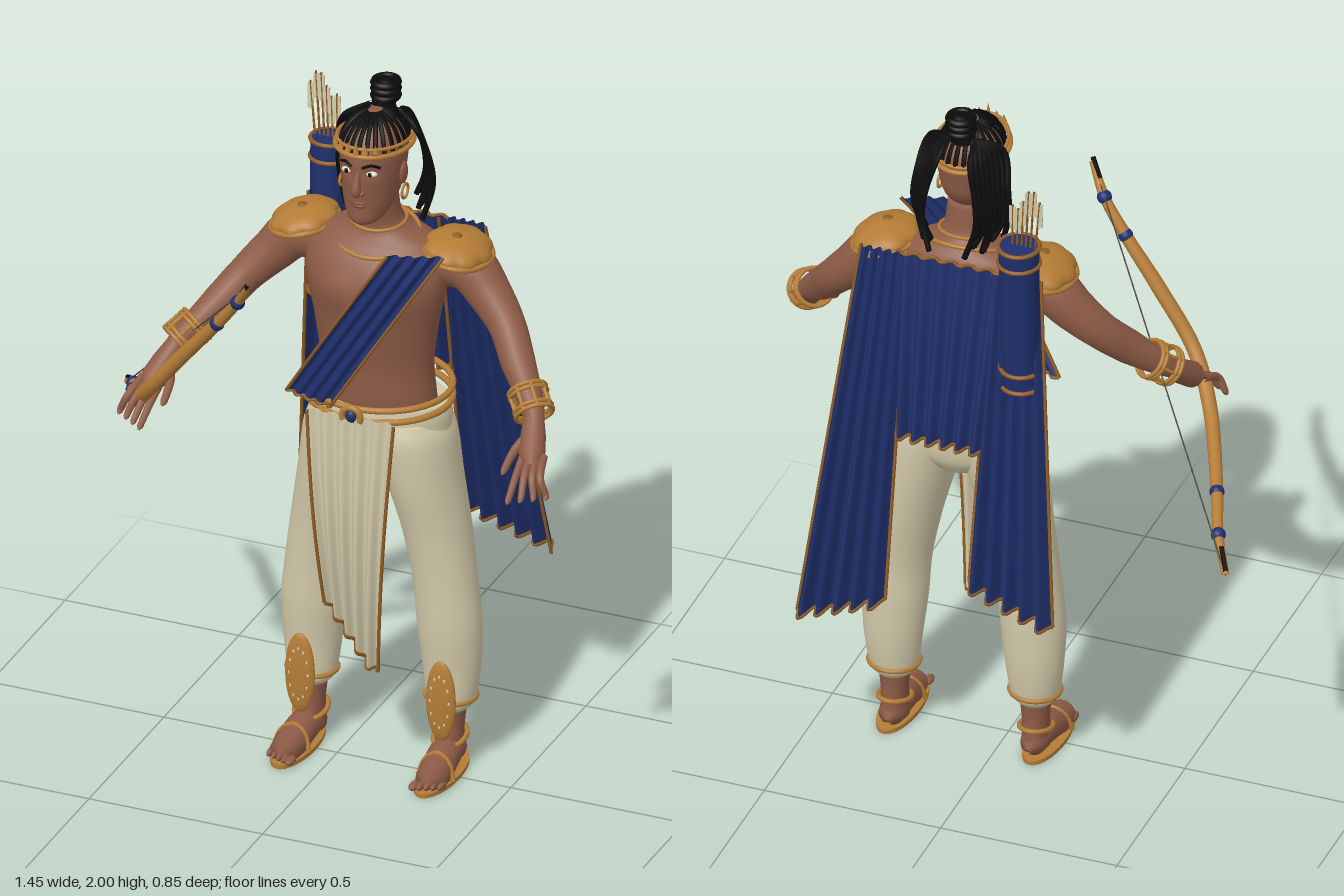
import * as THREE from 'three';

const mat = (name, color, side = THREE.FrontSide) => {
  const m = new THREE.MeshStandardMaterial({ color, side });
  m.name = name;
  return m;
};
const skin = mat('skin', 0x8d5b46), gold = mat('gold', 0xb47c36), trim = mat('bronze trim', 0x8f5c24);
const navy = mat('navy cloth', 0x1f2f6c, THREE.DoubleSide), cream = mat('cream cloth', 0xd3caaa, THREE.DoubleSide);
const black = mat('black hair', 0x0c0b0b), cord = mat('cord', 0x4c4843), white = mat('eye white', 0xe2dad0), lip = mat('lips', 0x7a463a);
const CX = 0.097; // body axis
const V = (p) => new THREE.Vector3(p[0], p[1], p[2]);
const lerp = THREE.MathUtils.lerp;

function add(parent, name, geo, m, pos = [0, 0, 0], scale = [1, 1, 1]) {
  const mesh = new THREE.Mesh(geo, m);
  mesh.name = name;
  mesh.position.set(...pos);
  mesh.scale.set(...scale);
  parent.add(mesh);
  return mesh;
}
const ball = (parent, name, m, pos, scale) => add(parent, name, new THREE.SphereGeometry(1, 20, 14), m, pos, scale);

// Smooth body from elliptical sections [y, cx, cz, rx, rz], closed at both ends
function loft(secs, bump, n = 36, sub = 6) {
  const a = new THREE.CatmullRomCurve3(secs.map((s) => V(s)), false, 'catmullrom');
  const b = new THREE.CatmullRomCurve3(secs.map((s) => V([s[3], s[4], 0])), false, 'catmullrom');
  const rows = (secs.length - 1) * sub, pos = [], idx = [];
  for (let i = 0; i <= rows; i++) {
    const c = a.getPoint(i / rows), r = b.getPoint(i / rows);
    for (let j = 0; j < n; j++) {
      const t = (j / n) * Math.PI * 2;
      const x = c.y + r.x * Math.sin(t), z = c.z + r.y * Math.cos(t);
      pos.push(x, c.x, z + (bump ? bump(x, c.x, Math.cos(t)) : 0));
      if (i < rows) {
        const k = i * n + j, l = i * n + ((j + 1) % n);
        idx.push(k, l, k + n, l, l + n, k + n);
      }
    }
  }
  const bottom = pos.length / 3, last = rows * n;
  pos.push(secs[0][1], secs[0][0], secs[0][2]);
  const e = secs[secs.length - 1];
  pos.push(e[1], e[0], e[2]);
  for (let j = 0; j < n; j++) {
    const l = (j + 1) % n;
    idx.push(bottom, l, j, bottom + 1, last + j, last + l);
  }
  const g = new THREE.BufferGeometry();
  g.setAttribute('position', new THREE.Float32BufferAttribute(pos, 3));
  g.setIndex(idx);
  g.computeVertexNormals();
  return g;
}

// Tube through [x, y, z, radius] points
function limb(pts, seg = 24, radial = 14) {
  const curve = new THREE.CatmullRomCurve3(pts.map(V));
  const g = new THREE.TubeGeometry(curve, seg, 1, radial), p = g.attributes.position, v = new THREE.Vector3();
  for (let i = 0; i <= seg; i++) {
    const c = curve.getPointAt(i / seg), t = curve.getUtoTmapping(i / seg) * (pts.length - 1);
    const k = Math.min(Math.floor(t), pts.length - 2), r = lerp(pts[k][3], pts[k + 1][3], t - k);
    for (let j = 0; j <= radial; j++) {
      const q = i * (radial + 1) + j;
      v.fromBufferAttribute(p, q).sub(c).multiplyScalar(r).add(c);
      p.setXYZ(q, v.x, v.y, v.z);
    }
  }
  return g;
}
const cordGeo = (pts, r, seg = 24) => new THREE.TubeGeometry(new THREE.CatmullRomCurve3(pts.map(V)), seg, r, 6);

// Horizontal elliptical band; dip lowers its front
function ring(rx, rz, r, dip = 0) {
  const pts = [];
  for (let i = 0; i < 20; i++) {
    const t = (i / 20) * Math.PI * 2;
    pts.push(new THREE.Vector3(rx * Math.sin(t), -dip * Math.cos(t), rz * Math.cos(t)));
  }
  return new THREE.TubeGeometry(new THREE.CatmullRomCurve3(pts, true), 48, r, 8, true);
}

// Cloth sheet from a rule f(u, v), with trimmed borders
function cloth(parent, name, f, m, edges) {
  const g = new THREE.PlaneGeometry(1, 1, 48, 20), p = g.attributes.position, uv = g.attributes.uv;
  for (let i = 0; i < p.count; i++) p.setXYZ(i, ...f(uv.getX(i), 1 - uv.getY(i)));
  g.computeVertexNormals();
  add(parent, name, g, m);
  const steps = Array.from({ length: 33 }, (_, i) => i / 32);
  const borders = { left: (t) => f(0, t), right: (t) => f(1, t), bottom: (t) => f(t, 1), top: (t) => f(t, 0) };
  for (const e of edges) add(parent, name + ' trim', cordGeo(steps.map(borders[e]), 0.005, 64), trim);
}
const pleat = (u, n) => Math.cos(u * n * Math.PI * 2);

function buildHead(body) {
  const head = new THREE.Group();
  head.name = 'head';
  body.add(head);
  add(head, 'skull', loft([[1.636, 0, 0.05, 0.018, 0.02], [1.652, 0, 0.032, 0.046, 0.055], [1.69, 0, 0.006, 0.067, 0.083],
    [1.74, 0, -0.014, 0.079, 0.106], [1.8, 0, -0.02, 0.086, 0.115], [1.85, 0, -0.026, 0.086, 0.115],
    [1.89, 0, -0.028, 0.073, 0.098], [1.918, 0, -0.03, 0.05, 0.068], [1.932, 0, -0.03, 0.015, 0.02]],
  (x, y, c) => (c > 0.6 ? -0.008 * Math.exp(-((y - 1.8) ** 2) / 0.0002 - (Math.abs(x) - 0.034) ** 2 / 0.0004) : 0)), skin);
  add(head, 'nose', limb([[0, 1.805, 0.086, 0.007], [0, 1.775, 0.097, 0.011], [0, 1.752, 0.103, 0.015], [0, 1.735, 0.092, 0.008]]), skin);
  ball(head, 'upper lip', lip, [0, 1.712, 0.084], [0.026, 0.006, 0.012]);
  ball(head, 'lower lip', lip, [0, 1.702, 0.083], [0.022, 0.007, 0.012]);
  for (const s of [-1, 1]) {
    ball(head, 'nostril', skin, [s * 0.012, 1.744, 0.093], [0.01, 0.009, 0.011]);
    ball(head, 'eye', white, [s * 0.034, 1.8, 0.077], [0.017, 0.008, 0.011]);
    ball(head, 'iris', black, [s * 0.034, 1.8, 0.086], [0.006, 0.007, 0.003]);
    add(head, 'eyebrow', cordGeo([[s * 0.014, 1.82, 0.093], [s * 0.036, 1.828, 0.086], [s * 0.056, 1.818, 0.068]], 0.004), black);
    ball(head, 'ear', skin, [s * 0.084, 1.77, -0.02], [0.011, 0.034, 0.02]);
    const hoop = add(head, 'earring', new THREE.TorusGeometry(0.02, 0.004, 8, 20), gold, [s * 0.09, 1.715, -0.018]);
    hoop.rotation.y = Math.PI / 2;
    // Hanging braids
    for (let k = 0; k < 8; k++) {
      const f = k / 7, z = -0.07 - 0.09 * f, x = 0.13 - 0.06 * f;
      add(head, 'hanging braid', cordGeo([[s * 0.04, 1.915, -0.09], [s * (x - 0.025), 1.88, z + 0.01], [s * x, 1.78, z - 0.02],
        [s * (x + 0.005), 1.7, z - 0.03], [s * (x - 0.02), 1.6 + 0.04 * ((k * 3) % 4) / 3, z - 0.02 - 0.025 * (k % 2)]], 0.008), black);
    }
  }
  // Cornrows gathered to the crown
  for (let k = 0; k < 24; k++) {
    const a = (k / 24) * Math.PI * 2, pts = [];
    for (let i = 0; i <= 5; i++) {
      const e = lerp(0.3, 1.36, i / 5);
      pts.push([0.091 * Math.cos(e) * Math.sin(a), 1.82 + 0.117 * Math.sin(e), -0.028 + 0.121 * Math.cos(e) * Math.cos(a)]);
    }
    add(head, 'cornrow', cordGeo(pts, 0.007, 12), black);
  }
  ball(head, 'topknot', black, [0, 1.963, -0.1], [0.038, 0.033, 0.04]);
  for (const y of [1.945, 1.965, 1.983]) add(head, 'topknot coil', ring(0.031, 0.033, 0.011), black, [0, y, -0.1]);
  add(head, 'topknot base', new THREE.CylinderGeometry(0.03, 0.035, 0.04, 16), black, [0, 1.925, -0.085]);
  // Circlet
  add(head, 'circlet', ring(0.1, 0.126, 0.007, -0.008), gold, [0, 1.848, -0.024]);
  add(head, 'circlet', ring(0.096, 0.122, 0.005, -0.012), gold, [0, 1.866, -0.024]);
  for (const x of [-0.05, -0.025, 0, 0.025, 0.05]) {
    add(head, 'circlet point', new THREE.ConeGeometry(0.009, x ? 0.025 : 0.045, 8), gold, [x, x ? 1.88 : 1.885, 0.1 - 6 * x * x]);
  }
}

function buildSide(body, s) {
  const side = new THREE.Group();
  side.name = s > 0 ? 'left limbs' : 'right limbs';
  body.add(side);
  // Arm and hand
  add(side, 'arm', limb([[s * 0.13, 1.5, -0.075, 0.05], [s * 0.19, 1.5, -0.082, 0.072], [s * 0.25, 1.49, -0.082, 0.07], [s * 0.31, 1.43, -0.07, 0.06],
    [s * 0.375, 1.36, -0.04, 0.05], [s * 0.43, 1.29, 0.015, 0.047], [s * 0.5, 1.21, 0.085, 0.033], [s * 0.525, 1.175, 0.12, 0.025]], 40, 20), skin);
  add(side, 'palm', limb([[s * 0.515, 1.19, 0.105, 0.027], [s * 0.53, 1.155, 0.145, 0.034], [s * 0.545, 1.12, 0.19, 0.036], [s * 0.553, 1.1, 0.215, 0.015]]), skin);
  for (let k = 0; k < 4; k++) {
    const x = 0.522 + 0.018 * k, tx = 0.53 + 0.028 * k, z = 0.325 - 0.02 * k;
    add(side, 'finger', limb([[s * x, 1.12, 0.185, 0.012], [s * lerp(x, tx, 0.5), 1.085, 0.25, 0.011], [s * tx, 1.04, z - 0.01, 0.009], [s * tx, 1.034, z, 0.002]], 14, 8), skin);
  }
  add(side, 'thumb', limb([[s * 0.52, 1.155, 0.15, 0.016], [s * 0.497, 1.125, 0.19, 0.013], [s * 0.49, 1.09, 0.25, 0.01], [s * 0.49, 1.083, 0.262, 0.002]], 14, 8), skin);
  // Caged bracelet along the forearm
  const cuff = new THREE.Group();
  cuff.name = 'bracelet';
  cuff.position.set(s * 0.495, 1.215, 0.08);
  cuff.quaternion.setFromUnitVectors(new THREE.Vector3(0, 1, 0), new THREE.Vector3(s * 0.55, -0.58, 0.6).normalize());
  side.add(cuff);
  for (const y of [-0.035, -0.022, 0.022, 0.035]) add(cuff, 'bracelet ring', ring(0.051, 0.051, 0.006), gold, [0, y, 0]);
  for (let k = 0; k < 8; k++) add(cuff, 'bracelet bar', new THREE.CylinderGeometry(0.005, 0.005, 0.07, 6), gold, [0.051 * Math.sin(k * Math.PI / 4), 0, 0.051 * Math.cos(k * Math.PI / 4)]);
  // Scalloped shoulder plate
  const plate = new THREE.SphereGeometry(1, 48, 14, 0, Math.PI * 2, 0, Math.PI * 0.62), p = plate.attributes.position;
  for (let i = 0; i < p.count; i++) {
    const a = Math.atan2(p.getZ(i), p.getX(i)), q = 1 + 0.1 * Math.abs(Math.cos(a * 4)) * (1 - Math.max(0, p.getY(i)));
    p.setXYZ(i, p.getX(i) * q * 0.084, p.getY(i) * 0.042, p.getZ(i) * q * 0.098);
  }
  plate.computeVertexNormals();
  add(side, 'shoulder plate', plate, gold, [s * 0.222, 1.547, -0.072]).rotation.z = -s * 0.18;
  add(side, 'shoulder plate rim', ring(0.088, 0.102, 0.008), gold, [s * 0.222, 1.537, -0.072]).rotation.z = -s * 0.18;
  ball(side, 'shoulder stud', trim, [s * 0.222, 1.588, -0.06], [0.014, 0.006, 0.014]);
  // Trouser leg
  add(side, 'trouser leg', loft([[0.172, s * 0.2, -0.07, 0.048, 0.05], [0.2, s * 0.2, -0.072, 0.066, 0.063], [0.3, s * 0.2, -0.077, 0.08, 0.073],
    [0.42, s * 0.195, -0.074, 0.089, 0.082], [0.55, s * 0.183, -0.072, 0.087, 0.086], [0.7, s * 0.158, -0.074, 0.092, 0.102],
    [0.85, s * 0.126, -0.068, 0.1, 0.123], [0.98, s * 0.1, -0.065, 0.108, 0.133], [1.04, s * 0.09, -0.065, 0.09, 0.12]]), cream);
  add(side, 'ankle band', ring(0.068, 0.066, 0.007), gold, [s * 0.2, 0.205, -0.072]);
  ball(side, 'shin guard', gold, [s * 0.203, 0.22, 0.004], [0.043, 0.118, 0.016]);
  for (let k = 0; k < 12; k++) ball(side, 'shin bead', cream, [s * 0.203 + 0.027 * Math.sin(k * Math.PI / 6), 0.22 + 0.075 * Math.cos(k * Math.PI / 6), 0.0145], [0.0035, 0.006, 0.0035]);
  // Foot and sandal
  add(side, 'ankle', loft([[0.03, s * 0.2, -0.065, 0.038, 0.055], [0.08, s * 0.2, -0.065, 0.036, 0.048], [0.13, s * 0.2, -0.068, 0.038, 0.042], [0.19, s * 0.2, -0.07, 0.045, 0.045]]), skin);
  const foot = limb([[s * 0.198, 0.035, -0.125, 0.008], [s * 0.2, 0.04, -0.1, 0.034], [s * 0.203, 0.05, -0.03, 0.044], [s * 0.208, 0.033, 0.045, 0.045], [s * 0.21, 0.022, 0.1, 0.04], [s * 0.21, 0.02, 0.12, 0.012]]);
  const f = foot.attributes.position;
  for (let i = 0; i < f.count; i++) f.setY(i, Math.max(0.01, f.getY(i)));
  add(side, 'foot', foot, skin);
  for (let k = 0; k < 5; k++) ball(side, 'toe', skin, [s * (0.178 + 0.017 * k), 0.02, 0.125 - 0.007 * k], [k ? 0.009 : 0.013, 0.011, 0.024]);
  add(side, 'sandal sole', new THREE.CylinderGeometry(1, 1, 0.012, 32), gold, [s * 0.207, 0.006, 0.008], [0.052, 1, 0.142]);
  add(side, 'sandal strap', cordGeo([[s * 0.157, 0.012, 0.05], [s * 0.175, 0.062, 0.04], [s * 0.208, 0.08, 0.035], [s * 0.24, 0.062, 0.04], [s * 0.259, 0.012, 0.05]], 0.007), gold);
  add(side, 'sandal strap', ring(0.043, 0.055, 0.007, 0.012), gold, [s * 0.2, 0.085, -0.065]);
}

function buildBow(g) {
  const path = [[-0.72, 0.83, -0.27], [-0.66, 0.885, -0.17], [-0.61, 0.935, -0.05], [-0.5, 1.04, 0.18], [-0.42, 1.14, 0.275],
    [-0.3, 1.29, 0.315], [-0.2, 1.41, 0.34], [-0.13, 1.5, 0.365], [-0.08, 1.575, 0.41]];
  const r = [0.01, 0.014, 0.017, 0.02, 0.02, 0.02, 0.017, 0.014, 0.01];
  add(g, 'bow limb', limb(path.map((p, i) => [...p, r[i]]), 60), gold);
  for (const i of [1, 2, 6, 7]) ball(g, 'bow wrap', navy, path[i], [0.02, 0.02, 0.02]);
  for (const [a, b] of [[0, 1], [8, 7]]) {
    const m = V(path[a]).lerp(V(path[b]), 0.6).toArray(), up = (p) => [p[0], p[1] + 0.012, p[2]];
    add(g, 'bow tip inlay', cordGeo([up(path[a]), up(m)], 0.007), black);
  }
  add(g, 'bowstring', cordGeo([path[0], path[8]], 0.002), cord);
}

function buildQuiver(parent) {
  const g = new THREE.Group();
  g.name = 'quiver';
  g.position.set(-0.117, 1.485, -0.22);
  g.rotation.x = -0.04;
  parent.add(g);
  add(g, 'quiver case', new THREE.CylinderGeometry(0.055, 0.05, 0.45, 28), navy);
  for (const y of [-0.222, -0.17, 0.17, 0.222]) add(g, 'quiver band', ring(0.055, 0.055, 0.006), trim, [0, y, 0]);
  for (let k = 0; k < 6; k++) {
    const x = -0.043 + 0.014 * k, top = 0.38 + 0.035 * Math.sin(k * 1.1);
    add(g, 'arrow shaft', cordGeo([[x * 0.8, 0.1, 0], [x * 1.1 - 0.015, top, 0]], 0.003), trim);
    add(g, 'arrow fletching', new THREE.BoxGeometry(0.017, 0.075, 0.004), cream, [x * 1.1 - 0.013, top - 0.045, 0]);
  }
}

export function createModel() {
  const model = new THREE.Group();
  model.name = 'archer';
  const body = new THREE.Group();
  body.name = 'body';
  body.position.x = CX;
  model.add(body);
  // Torso with chest relief, and neck
  add(body, 'torso', loft([[1.0, 0, -0.06, 0.17, 0.11], [1.1, 0, -0.045, 0.165, 0.105], [1.2, 0, -0.04, 0.16, 0.102], [1.32, 0, -0.037, 0.175, 0.115],
    [1.42, 0, -0.038, 0.195, 0.125], [1.5, 0, -0.052, 0.2, 0.115], [1.555, 0, -0.065, 0.165, 0.09], [1.59, 0, -0.062, 0.088, 0.07], [1.625, 0, -0.05, 0.063, 0.06],
    [1.7, 0, -0.035, 0.057, 0.062]],
  (x, y, c) => c * 0.012 * (c > 0 ? Math.exp(-((y - 1.43) ** 2) / 0.003 - (Math.abs(x) - 0.075) ** 2 / 0.003) : Math.exp(-((y - 1.45) ** 2) / 0.006 - (Math.abs(x) - 0.09) ** 2 / 0.004))), skin);
  add(body, 'trouser seat', loft([[0.9, 0, -0.065, 0.1, 0.1], [0.95, 0, -0.065, 0.185, 0.128], [1.03, 0, -0.065, 0.2, 0.135], [1.085, 0, -0.06, 0.19, 0.125]]), cream);
  buildHead(body);
  for (const s of [1, -1]) buildSide(body, s);
  // Necklaces and belt
  add(body, 'choker', ring(0.076, 0.068, 0.005, 0.01), gold, [0, 1.605, -0.052]);
  add(body, 'collar', ring(0.115, 0.092, 0.006, 0.035), gold, [0, 1.562, -0.045]);
  for (const y of [1.075, 1.11]) add(body, 'belt', ring(0.196, 0.178, 0.009), gold, [0, y, -0.06]);
  ball(body, 'buckle gem', navy, [0, 1.095, 0.135], [0.016, 0.018, 0.012]);
  add(body, 'buckle', new THREE.TorusGeometry(0.026, 0.009, 8, 24, Math.PI * 1.3), gold, [0, 1.092, 0.132]).rotation.z = -Math.PI * 0.15;

  // Sash across the chest
  cloth(model, 'sash', (u, v) => {
    const x = lerp(lerp(0.19, 0.33, u), lerp(-0.115, 0.03, u), v);
    return [x, 1.58 - 0.48 * v, 0.118 - 1.1 * (x - CX) ** 2 - 0.05 * Math.max(0, 0.15 - v) + 0.006 * pleat(u, 4)];
  }, navy, ['left', 'right', 'bottom']);
  // Front apron
  cloth(model, 'apron', (u, v) => [lerp(lerp(-0.03, 0.22, u), lerp(0.02, 0.175, u), v), 1.09 - v * lerp(0.57, 0.745, Math.min(1, u * 1.25)),
    0.128 + 0.028 * Math.sin(v * 2.6) - 0.022 * v + 0.014 * pleat(u, 5) * (0.5 + 0.5 * v)], cream, ['left', 'right', 'bottom']);
  // Pleated cape: back panel and two long tails
  const drape = (u, n, v, y) => -0.18 - 0.21 * (1.57 - y) + (0.008 + 0.02 * v) * pleat(u, n);
  cloth(model, 'cape back', (u, v) => {
    const y = 1.57 - 0.51 * v;
    return [lerp(lerp(-0.06, 0.25, u), lerp(-0.03, 0.22, u), v), y, drape(u, 6, v * 0.6, y) + 0.004];
  }, navy, ['top', 'bottom']);
  for (const s of [1, -1]) {
    cloth(model, s > 0 ? 'left cape tail' : 'right cape tail', (u, v) => {
      const y = 1.57 - v * (lerp(0.98, 1.06, u) - (s > 0 ? 0 : 0.1));
      return [CX + s * lerp(lerp(0.12, 0.255, u), lerp(0.115, 0.358, u), v), y, drape(u, 5, v, y)];
    }, navy, ['left', 'right', 'bottom']);
  }
  buildQuiver(model);
  const bow = new THREE.Group();
  bow.name = 'bow';
  model.add(bow);
  buildBow(bow);
  return model;
}
